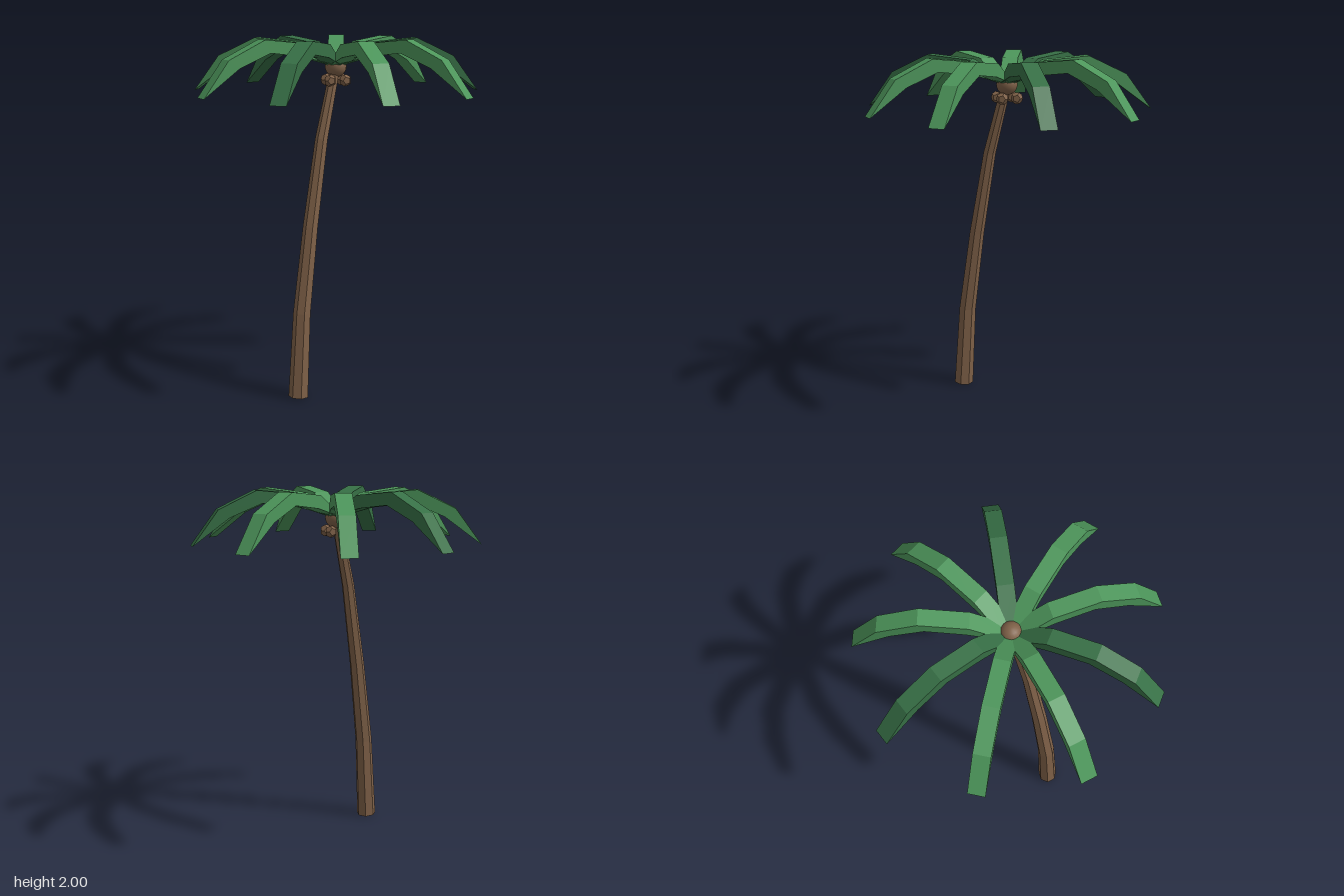
import * as THREE from 'three';

function paint(name, color) {
  const m = new THREE.MeshStandardMaterial({ color });
  m.name = name;
  return m;
}
const lightLeaf = paint('lightLeafGreen', 0x4d965b);
const darkLeaf = paint('darkLeafGreen', 0x377046);
const bark = paint('barkBrown', 0x7f6148);

const CROWN = new THREE.Vector3(-0.018, 1.845, 0);

function add(parent, name, geometry, material) {
  const m = new THREE.Mesh(geometry, material);
  m.name = name;
  parent.add(m);
  return m;
}

// Seven-sided tapering trunk that leans toward the crown: x, y, radius
function trunkGeometry() {
  const sides = 7;
  const path = [
    [-0.345, 0.005, 0.057], [-0.31, 0.49, 0.05], [-0.235, 0.97, 0.043],
    [-0.14, 1.45, 0.036], [-0.02, 1.85, 0.028],
  ];
  const pos = [], idx = [];
  path.forEach(([x, y, r], i) => {
    const a = path[Math.max(i - 1, 0)], b = path[Math.min(i + 1, path.length - 1)];
    const t = new THREE.Vector2(b[0] - a[0], b[1] - a[1]).normalize();
    for (let k = 0; k < sides; k++) {
      const q = THREE.MathUtils.degToRad(20) + (k * Math.PI * 2) / sides;
      const c = r * Math.cos(q);
      pos.push(x + c * t.y, y - c * t.x, r * Math.sin(q));
    }
  });
  for (let i = 0; i < path.length - 1; i++) {
    for (let j = 0; j < sides; j++) {
      const a = i * sides + j, b = i * sides + (j + 1) % sides;
      idx.push(a, a + sides, b, b, a + sides, b + sides);
    }
  }
  // End caps
  const top = (path.length - 1) * sides;
  for (let j = 1; j < sides - 1; j++) {
    idx.push(0, j, j + 1, top, top + j + 1, top + j);
  }
  const g = new THREE.BufferGeometry();
  g.setAttribute('position', new THREE.Float32BufferAttribute(pos, 3));
  g.setIndex(idx);
  const flat = g.toNonIndexed();
  flat.computeVertexNormals();
  return flat;
}

// Solid crescent arching outward along +x, pointed at both ends
function frondGeometry() {
  const outline = [
    [0, 0], [0.22, 0.06], [0.42, 0.085], [0.6, 0.01], [0.805, -0.14],
    [0.66, 0.055], [0.45, 0.155], [0.2, 0.13],
  ];
  const shape = new THREE.Shape(outline.map(([x, y]) => new THREE.Vector2(x, y)));
  const g = new THREE.ExtrudeGeometry(shape, { depth: 0.09, bevelEnabled: false });
  g.translate(0, 0, -0.045);
  return g;
}

export function createModel() {
  const model = new THREE.Group();
  model.name = 'palmTree';

  add(model, 'trunk', trunkGeometry(), bark);
  add(model, 'crownBall', new THREE.SphereGeometry(0.06, 16, 12), bark).position.copy(CROWN);

  // Nine fronds around the crown, every third one darker
  const fronds = new THREE.Group();
  fronds.name = 'fronds';
  fronds.position.copy(CROWN);
  const frond = frondGeometry();
  for (let i = 0; i < 9; i++) {
    const leaf = i % 3 === 2 ? darkLeaf : lightLeaf;
    add(fronds, 'frond', frond, leaf).rotation.y = (i * Math.PI * 2) / 9;
  }
  model.add(fronds);

  // Four coconuts below the crown
  const nut = new THREE.DodecahedronGeometry(0.034);
  for (let i = 0; i < 4; i++) {
    const q = THREE.MathUtils.degToRad(80 + 90 * i);
    add(model, 'coconut', nut, bark).position.set(
      CROWN.x + 0.061 * Math.cos(q), 1.77, 0.061 * Math.sin(q));
  }
  return model;
}
